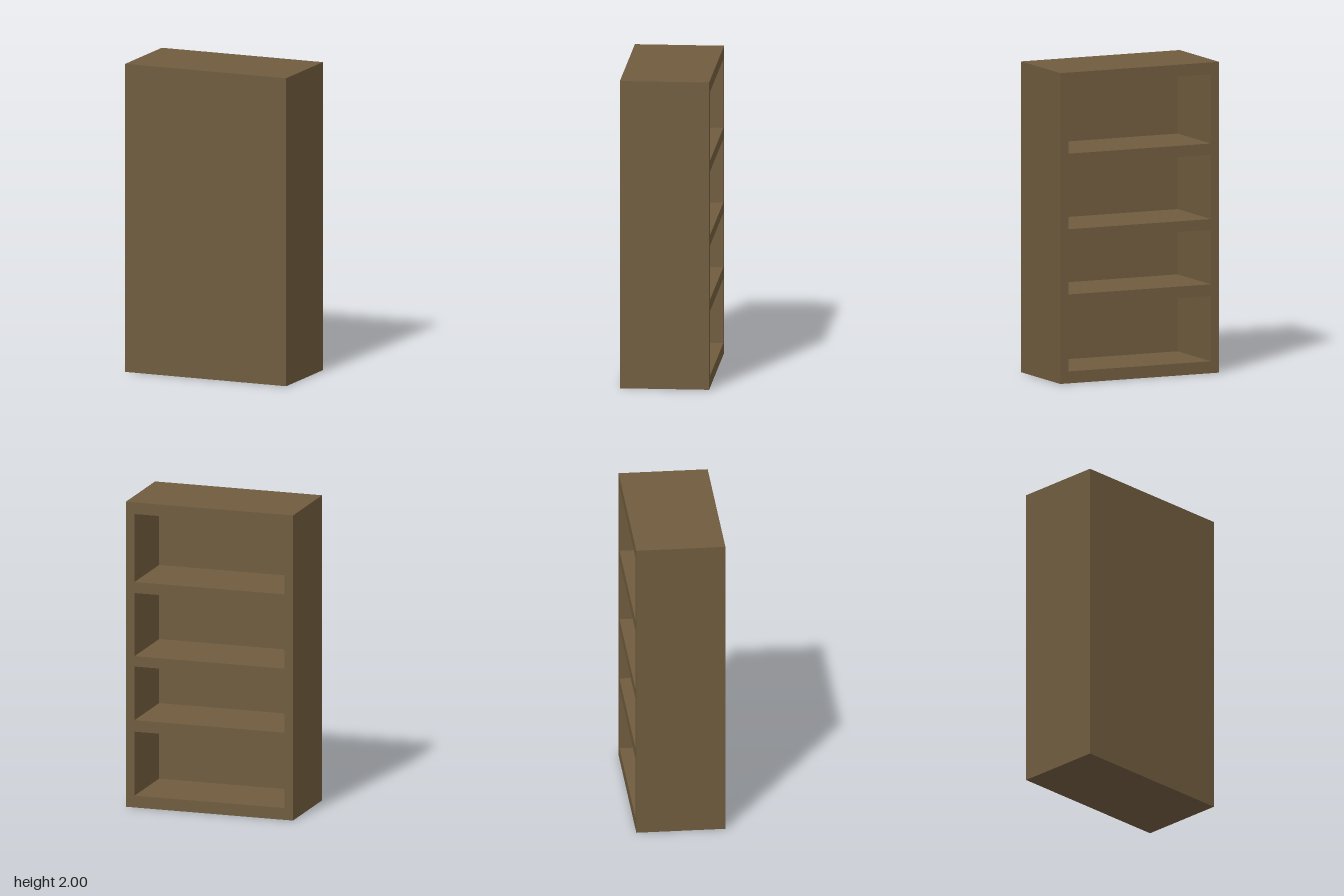
import * as THREE from 'three';

const W = 1.125, H = 2, D = 0.57; // overall size
const SIDE = 0.058;               // side wall thickness
const BACK = 0.088;               // closed panel thickness
// Bottom and top of each compartment
const BAYS = [[0.077, 0.497], [0.572, 0.924], [0.992, 1.406], [1.478, 1.924]];

// Traces a rectangle onto a Shape or Path
function rect(path, x, y0, y1) {
  path.moveTo(-x, y0);
  path.lineTo(x, y0);
  path.lineTo(x, y1);
  path.lineTo(-x, y1);
  path.closePath();
  return path;
}

export function createModel() {
  const group = new THREE.Group();
  group.name = 'bookcase';
  const wood = new THREE.MeshStandardMaterial({ color: 0x6f5b3e });

  // Walls and shelves: one block pierced by the compartments, open toward -z
  const outline = rect(new THREE.Shape(), W / 2, 0, H);
  for (const [y0, y1] of BAYS) {
    outline.holes.push(rect(new THREE.Path(), W / 2 - SIDE, y0, y1));
  }
  const frame = new THREE.Mesh(
    new THREE.ExtrudeGeometry(outline, { depth: D - BACK, bevelEnabled: false }), wood);
  frame.name = 'wallsAndShelves';
  frame.position.z = -D / 2;
  group.add(frame);

  // Solid panel closing the +z side
  const panel = new THREE.Mesh(new THREE.BoxGeometry(W, H, BACK), wood);
  panel.name = 'closedPanel';
  panel.position.set(0, H / 2, D / 2 - BACK / 2);
  group.add(panel);

  return group;
}
